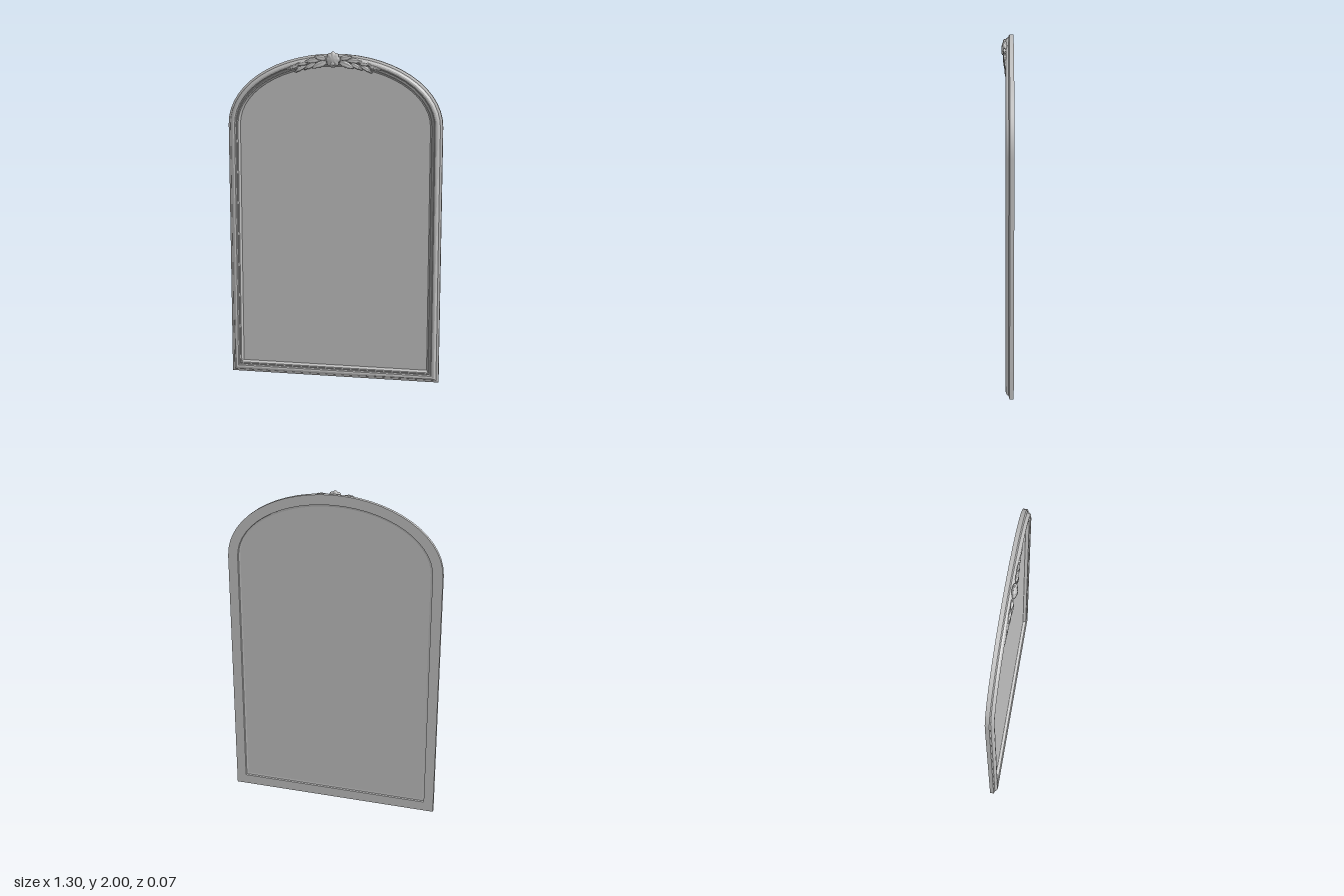
import * as THREE from 'three';
import { toCreasedNormals } from 'three/addons/utils/BufferGeometryUtils.js';

const SPRING = 1.56, HALF = 0.65, RISE = 0.425;
const ARCH_STEPS = 28;

// Arched outline inset by d, counter-clockwise from the lower left corner
function outline(d) {
  const a = HALF - d, b = RISE - d;
  const pts = [new THREE.Vector2(-a, d), new THREE.Vector2(a, d)];
  for (let i = 0; i <= ARCH_STEPS; i++) {
    const t = (i / ARCH_STEPS) * Math.PI;
    pts.push(new THREE.Vector2(a * Math.cos(t), SPRING + b * Math.sin(t)));
  }
  return pts;
}

// Sweep a closed moulding profile of [inset, z] around the outline
function sweep(profile) {
  const pos = [], index = [];
  const loops = profile.map(([d]) => outline(d));
  const n = loops[0].length, m = profile.length;
  for (let i = 0; i < n; i++) {
    for (let j = 0; j < m; j++) pos.push(loops[j][i].x, loops[j][i].y, profile[j][1]);
  }
  for (let i = 0; i < n; i++) {
    for (let j = 0; j < m; j++) {
      const i2 = (i + 1) % n, j2 = (j + 1) % m;
      const a = i * m + j, b = i2 * m + j, c = i2 * m + j2, d = i * m + j2;
      index.push(a, b, c, a, c, d);
    }
  }
  const geo = new THREE.BufferGeometry();
  geo.setAttribute('position', new THREE.Float32BufferAttribute(pos, 3));
  geo.setIndex(index);
  return toCreasedNormals(geo, 0.4);
}

// Move every vertex of a geometry by a rule
function reshape(geo, rule) {
  const p = geo.attributes.position, v = new THREE.Vector3();
  for (let i = 0; i < p.count; i++) {
    rule(v.fromBufferAttribute(p, i));
    p.setXYZ(i, v.x, v.y, v.z);
  }
  geo.computeVertexNormals();
  return geo;
}

// Acanthus leaf along +x: scalloped edges, grooved middle, drooping tip
function leafGeometry(length, width, depth) {
  return reshape(new THREE.SphereGeometry(1, 28, 12), (v) => {
    const t = (v.x + 1) / 2;
    const lobes = 0.75 + 0.25 * Math.abs(Math.cos(t * Math.PI * 3.5));
    const groove = 1 - 0.45 * Math.exp(-Math.pow(v.y / 0.22, 2));
    const y = v.y * lobes * (1.25 - 0.6 * t);
    v.set(t * length, y * width / 2 - 0.12 * length * t * t, v.z * depth * groove);
  });
}

export function createModel() {
  const model = new THREE.Group();
  model.name = 'archedMirror';
  const silver = new THREE.MeshStandardMaterial({ color: 0xc0c0c0 });
  silver.name = 'silver grey';

  function add(parent, name, geo) {
    const mesh = new THREE.Mesh(geo, silver);
    mesh.name = name;
    parent.add(mesh);
    return mesh;
  }

  // Stepped moulding with a flat back
  add(model, 'frame', sweep([
    [0, -0.035], [0, -0.011], [0.006, -0.007], [0.014, -0.005], [0.018, 0.004],
    [0.026, 0.011], [0.034, 0.013], [0.043, 0.010], [0.048, 0.003], [0.053, 0.003],
    [0.057, 0.007], [0.063, 0.005], [0.067, -0.004], [0.073, -0.012],
    [0.073, -0.022], [0.062, -0.024], [0.060, -0.035],
  ]));

  // Glass panel held inside the frame
  const glass = new THREE.ExtrudeGeometry(new THREE.Shape(outline(0.066)), { depth: 0.008, bevelEnabled: false });
  glass.translate(0, 0, -0.022);
  add(model, 'mirrorPanel', glass);

  // Carved crest at the top of the arch
  const crest = new THREE.Group();
  crest.name = 'crest';
  model.add(crest);

  // Ribbed shell with a scalloped rim
  const shell = add(crest, 'shell', reshape(new THREE.SphereGeometry(1, 64, 16), (v) => {
    const angle = Math.atan2(v.y, v.x), r = Math.hypot(v.x, v.y);
    const rib = Math.abs(Math.cos(angle * 4));
    const k = 0.043 * (0.86 + 0.14 * rib);
    v.set(v.x * k, v.y * k * 1.1, v.z * 0.017 * (1 - 0.3 * r * (1 - rib)));
  }));
  shell.position.set(0, 1.952, 0.017);
  const boss = add(crest, 'shellBoss', new THREE.SphereGeometry(0.012, 16, 10));
  boss.scale.set(1.2, 1, 0.6);
  boss.position.set(0, 1.928, 0.027);

  // Leaves trailing down the arch: x, y, angle, length, width, depth, z
  const leaves = [
    [0.045, 1.955, 0.30, 0.07, 0.036, 0.010, 0.018],
    [0.040, 1.935, -0.25, 0.09, 0.040, 0.010, 0.017],
    [0.085, 1.948, 0.00, 0.09, 0.034, 0.009, 0.015],
    [0.105, 1.928, -0.35, 0.08, 0.030, 0.009, 0.014],
    [0.150, 1.932, -0.05, 0.08, 0.028, 0.008, 0.012],
    [0.165, 1.915, -0.42, 0.08, 0.026, 0.007, 0.011],
    [0.210, 1.915, -0.20, 0.08, 0.022, 0.006, 0.011],
  ];
  for (const side of [1, -1]) {
    const spray = new THREE.Group();
    spray.name = side > 0 ? 'leftLeafSpray' : 'rightLeafSpray';
    spray.scale.x = side;
    crest.add(spray);
    leaves.forEach(([x, y, angle, length, width, depth, z], i) => {
      const leaf = add(spray, `leaf${i + 1}`, leafGeometry(length, width, depth));
      leaf.position.set(x, y, z);
      leaf.rotation.z = angle;
    });
  }
  return model;
}
